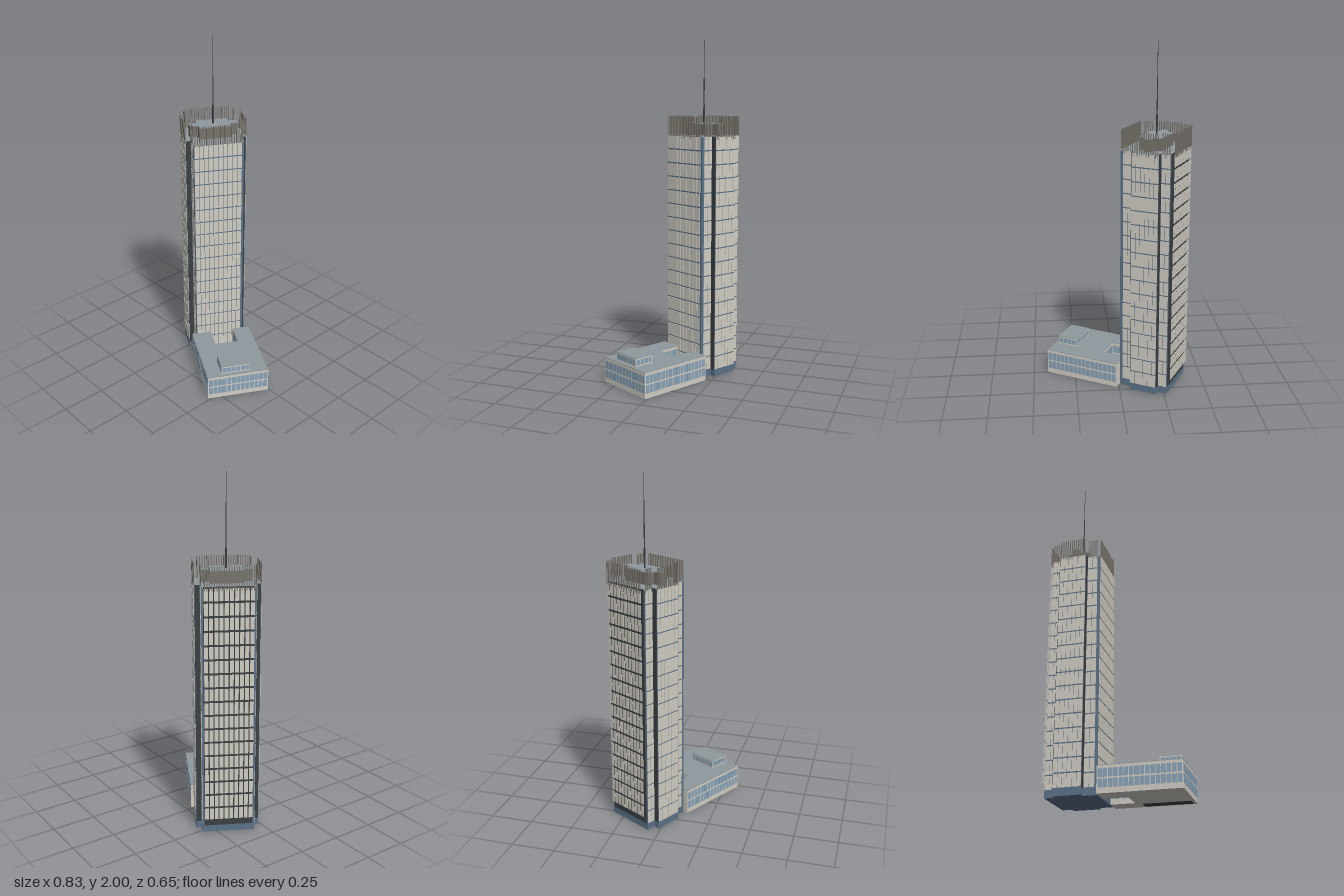
import * as THREE from 'three';
import { mergeGeometries } from 'three/addons/utils/BufferGeometryUtils.js';

const mat = (color) => new THREE.MeshStandardMaterial({ color });
const M = {
  panel: mat(0xd0cdc3), glass: mat(0x5c7288), pane: mat(0x8aa3b8), dark: mat(0x3c4043),
  roof: mat(0x8f989d), slat: mat(0x77736b),
};

// Plan coordinates: u runs from tower to annex, v runs across.
function prism(name, pts, y0, y1, material) {
  const shape = new THREE.Shape(pts.map(([u, v]) => new THREE.Vector2(u, -v)));
  const g = new THREE.ExtrudeGeometry(shape, { depth: y1 - y0, bevelEnabled: false });
  g.rotateX(-Math.PI / 2).translate(0, y0, 0);
  const m = new THREE.Mesh(g, material);
  m.name = name;
  return m;
}

const box = (u0, u1, y0, y1, v0, v1) =>
  new THREE.BoxGeometry(u1 - u0, y1 - y0, v1 - v0)
    .translate((u0 + u1) / 2, (y0 + y1) / 2, (v0 + v1) / 2);

function batch(name, geometries, material) {
  const m = new THREE.Mesh(mergeGeometries(geometries), material);
  m.name = name;
  return m;
}

// Grid of thin slabs on a wall whose normal is the u or v axis
function grid(axis, at, a0, a1, cols, y0, y1, rows, gapA, gapY, thick = 0.004) {
  const out = [], w = (a1 - a0) / cols, h = (y1 - y0) / rows;
  for (let i = 0; i < cols; i++) for (let j = 0; j < rows; j++) {
    const p = a0 + i * w + gapA / 2, q = a0 + (i + 1) * w - gapA / 2;
    const b = y0 + j * h + gapY / 2, t = y0 + (j + 1) * h - gapY / 2;
    out.push(axis === 'u' ? box(at - thick / 2, at + thick / 2, b, t, p, q)
      : box(p, q, b, t, at - thick / 2, at + thick / 2));
  }
  return out;
}

// Cross-shaped plan: main rectangle with a bay at each end
const crossPlan = (u0, u1, v, b0, b1, bv) => [
  [u0, -v], [b0, -v], [b0, -bv], [b1, -bv], [b1, -v], [u1, -v],
  [u1, v], [b1, v], [b1, bv], [b0, bv], [b0, v], [u0, v]];

const ROOF = 1.42, CROWN = 1.53;

function makeTower() {
  const g = new THREE.Group();
  g.name = 'tower';
  g.add(prism('towerCore', crossPlan(-0.146, 0.146, 0.147, -0.091, 0.067, 0.179), 0, ROOF - 0.004, M.glass));
  g.add(prism('towerRoof', crossPlan(-0.146, 0.146, 0.147, -0.091, 0.067, 0.179), ROOF - 0.004, ROOF, M.roof));

  // Floor panels and crown slats on the two end walls
  const panels = [], slats = [];
  for (const s of [-1, 1]) {
    for (const [at, a0, a1, cols] of [
      [0.179, -0.091, 0.067, 6], [0.147, -0.146, -0.094, 2], [0.147, 0.07, 0.13, 2]]) {
      panels.push(...grid('v', s * at, a0, a1, cols, 0.04, ROOF, 17, 0.002, 0.007));
      slats.push(...grid('v', s * at, a0, a1, Math.round((a1 - a0) / 0.013), ROOF - 0.02, CROWN, 1, 0.008, 0));
    }
  }
  // Panels on the wall above the annex
  panels.push(...grid('u', 0.147, -0.135, 0.145, 10, 0.04, ROOF, 17, 0.003, 0.008, 0.006));
  slats.push(...grid('u', 0.147, -0.136, 0.145, 21, ROOF - 0.02, CROWN, 1, 0.008, 0));
  g.add(batch('facadePanels', panels, M.panel));

  // Panel screen standing clear of the outer wall
  g.add(batch('screenWall', [box(-0.148, -0.145, 0.04, ROOF, -0.136, 0.136)], M.dark));
  g.add(batch('screenPanels', grid('u', -0.164, -0.137, 0.137, 10, 0.08, ROOF, 17, 0.006, 0.012, 0.002), M.panel));
  slats.push(...grid('u', -0.164, -0.137, 0.137, 21, ROOF - 0.02, CROWN, 1, 0.008, 0, 0.003));
  g.add(batch('crownSlats', slats, M.slat));

  // Dark reveals beside the end bays
  const reveals = [];
  for (const s of [-1, 1]) for (const u of [-0.092, 0.068])
    reveals.push(box(u - 0.002, u + 0.002, 0.04, ROOF, s * 0.162 - 0.014, s * 0.162 + 0.014));
  g.add(batch('bayReveals', reveals, M.dark));

  // Plant room and mast
  const plant = crossPlan(-0.072, 0.059, 0.094, -0.029, 0.013, 0.141);
  g.add(prism('plantRoom', plant, ROOF, 1.486, M.slat));
  g.add(prism('plantRoomRoof', plant, 1.486, 1.49, M.roof));
  for (const [r0, r1, y0, y1] of [[0.005, 0.005, 1.49, 1.6], [0.0035, 0.003, 1.6, 1.75], [0.0025, 0.0012, 1.75, 2]]) {
    const m = new THREE.Mesh(new THREE.CylinderGeometry(r1, r0, y1 - y0, 8), M.dark);
    m.position.set(-0.007, (y0 + y1) / 2, 0);
    m.name = 'mast';
    g.add(m);
  }
  return g;
}

function makeAnnex() {
  const g = new THREE.Group();
  g.name = 'annex';
  const U0 = 0.149, U1 = 0.607, V0 = -0.191, V1 = 0.176;
  // Courtyard block, open toward the tower
  const plan = [[U0, V0], [U1, V0], [U1, V1], [U0, V1], [U0, 0.056], [0.287, 0.056], [0.287, -0.085], [U0, -0.085]];
  g.add(prism('annexWalls', plan, 0, 0.147, M.panel));
  g.add(prism('annexRoof', plan, 0.147, 0.15, M.roof));

  // Two storeys of windows on all outer and courtyard walls
  const panes = [];
  for (const y of [0.03, 0.085]) for (const [axis, at, a0, a1, cols] of [
    ['v', V0, U0, U1, 16], ['v', V1, U0, U1, 16], ['u', U1, V0, V1, 13],
    ['u', 0.287, -0.085, 0.056, 5], ['v', -0.085, U0, 0.287, 5], ['v', 0.056, U0, 0.287, 5]])
    panes.push(...grid(axis, at, a0 + 0.004, a1 - 0.004, cols, y, y + 0.046, 1, 0.004, 0, 0.002));

  // Rooftop pavilion
  const [a, b, c, d] = [0.466, 0.586, -0.084, 0.089];
  g.add(batch('pavilion', [box(a, b, 0.15, 0.196, c, d)], M.panel));
  g.add(batch('pavilionRoof', [box(a, b, 0.196, 0.199, c, d)], M.roof));
  for (const [axis, at, a0, a1, cols] of [['u', a, c, d, 6], ['u', b, c, d, 6], ['v', c, a, b, 4], ['v', d, a, b, 4]])
    panes.push(...grid(axis, at, a0 + 0.003, a1 - 0.003, cols, 0.158, 0.189, 1, 0.004, 0, 0.002));
  g.add(batch('annexWindows', panes, M.pane));

  // Dark strip under the block
  g.add(batch('undersideStrip', [box(0.32, 0.59, -0.0005, 0.001, -0.18, -0.11)], M.dark));
  return g;
}

export function createModel() {
  const model = new THREE.Group();
  model.name = 'officeTower';
  const site = new THREE.Group();
  site.name = 'building';
  site.add(makeTower(), makeAnnex());
  site.rotation.y = -THREE.MathUtils.degToRad(29.1);
  site.position.set(-0.208, 0, -0.123);
  model.add(site);
  return model;
}
